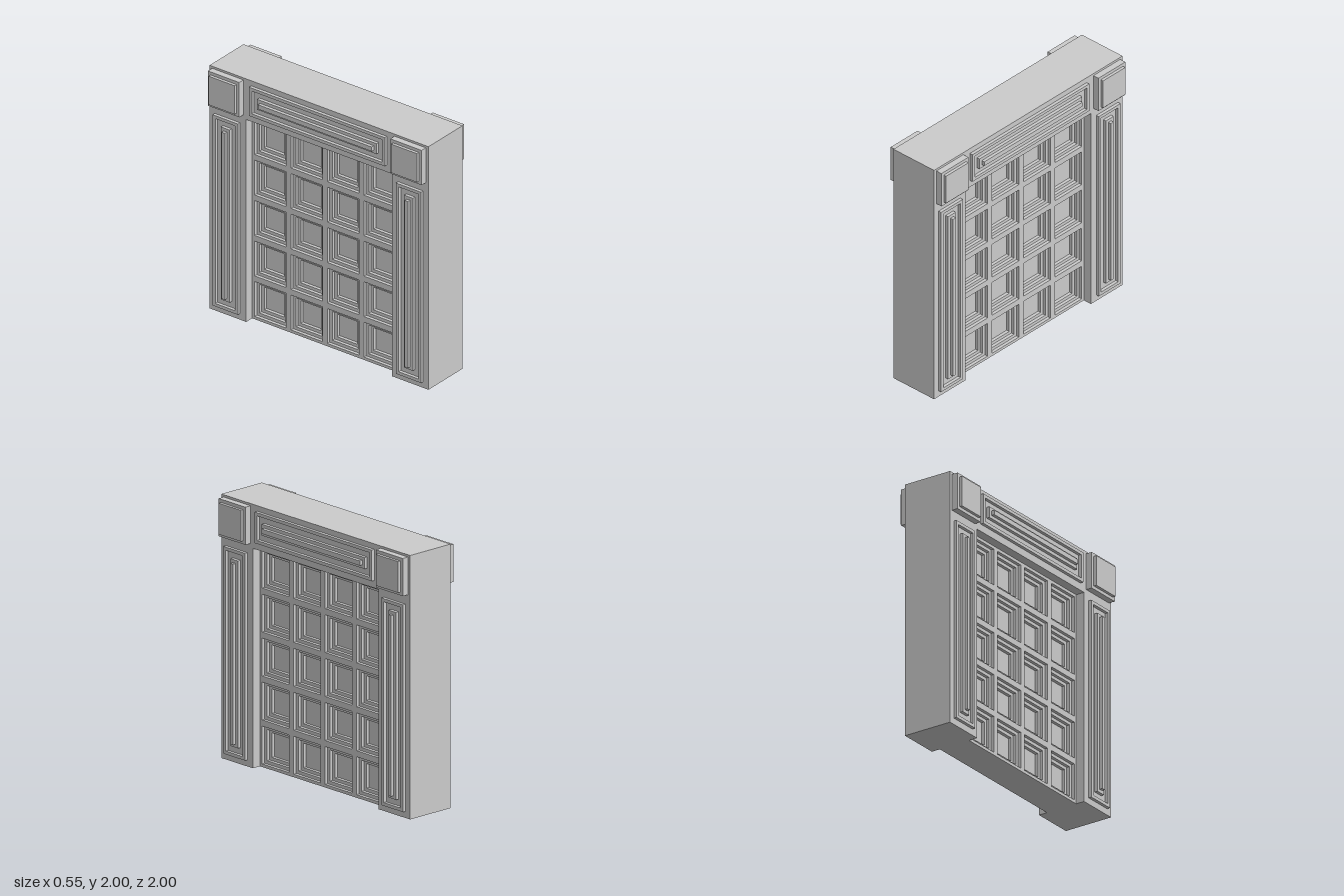
import * as THREE from 'three';

const material = new THREE.MeshStandardMaterial({ color: 0xcccccc, flatShading: true });

const FACE = 0.2;          // half thickness of the frame
const DOOR_W = 1.33, DOOR_H = 1.665;
const DOOR_FACE = 0.13;    // half thickness of the recessed door
const STEP = 0.025;        // depth of each coffer step
const PITCH = 0.333;

// Corner points of a rectangle, centred at (cx, cy)
function rectPoints(cx, cy, w, h) {
  return [[-1, -1], [1, -1], [1, 1], [-1, 1]].map(
    ([a, b]) => new THREE.Vector2(cx + a * w / 2, cy + b * h / 2));
}

// Extrude a z-y outline along x, from x0 to x1
function slab(name, shape, x0, x1) {
  const geometry = new THREE.ExtrudeGeometry(shape, { depth: x1 - x0, bevelEnabled: false });
  geometry.rotateY(Math.PI / 2).translate(x0, 0, 0);
  const mesh = new THREE.Mesh(geometry, material);
  mesh.name = name;
  return mesh;
}

// Plain raised block standing on the frame face
function block(name, z, y, w, h, x0, x1) {
  return slab(name, new THREE.Shape(rectPoints(-z, y, w, h)), x0, x1);
}

// Raised moulding ring around a two-step raised strip
function mouldedPanel(name, z, y, w, h) {
  const group = new THREE.Group();
  group.name = name;
  const ring = new THREE.Shape(rectPoints(-z, y, w, h));
  ring.holes.push(new THREE.Path(rectPoints(-z, y, w - 0.05, h - 0.05)));
  group.add(
    slab('mouldingRing', ring, FACE, 0.225),
    block('stripBase', z, y, w - 0.15, h - 0.15, FACE, 0.225),
    block('stripTop', z, y, w - 0.2, h - 0.2, 0.225, 0.25));
  return group;
}

// Door layer pierced by a 4 x 5 grid of square openings
function cofferLayer(size, x0, x1) {
  const shape = new THREE.Shape(rectPoints(0, DOOR_H / 2, DOOR_W, DOOR_H));
  for (let col = 0; col < 4; col++) {
    for (let row = 0; row < 5; row++) {
      const z = (col - 1.5) * PITCH, y = (row + 0.5) * PITCH;
      shape.holes.push(new THREE.Path(rectPoints(z, y, size, size)));
    }
  }
  return slab('cofferLayer', shape, x0, x1);
}

// All ornament of one broad face, built on the +x side
function createFace(name) {
  const face = new THREE.Group();
  face.name = name;

  // stepped coffers, widest opening outermost
  [0.286, 0.236, 0.186].forEach((size, i) => {
    const x1 = DOOR_FACE - i * STEP;
    face.add(cofferLayer(size, x1 - STEP, x1));
  });

  // post panels and corner blocks
  for (const side of [1, -1]) {
    face.add(
      mouldedPanel('postPanel', side * 0.837, 0.835, 0.23, 1.57),
      block('cornerBlockBase', side * 0.833, 1.84, 0.286, 0.286, FACE, 0.25),
      block('cornerBlockTop', side * 0.833, 1.84, 0.236, 0.236, 0.25, 0.273));
  }

  face.add(mouldedPanel('lintelPanel', 0, 1.84, 1.24, 0.236));
  return face;
}

export function createModel() {
  const model = new THREE.Group();
  model.name = 'panelledDoorway';

  // posts and lintel in one piece
  const d = DOOR_W / 2;
  const outline = [[-1, 0], [-d, 0], [-d, DOOR_H], [d, DOOR_H], [d, 0], [1, 0], [1, 2], [-1, 2]];
  const frame = new THREE.Shape(outline.map(([z, y]) => new THREE.Vector2(z, y)));
  model.add(slab('frame', frame, -FACE, FACE));

  // door core behind the coffers
  const core = DOOR_FACE - 3 * STEP;
  model.add(block('doorCore', 0, DOOR_H / 2, DOOR_W, DOOR_H, -core, core));

  // same ornament on both broad sides
  const left = createFace('leftFace');
  const right = createFace('rightFace');
  right.rotation.y = Math.PI;
  model.add(left, right);
  return model;
}
